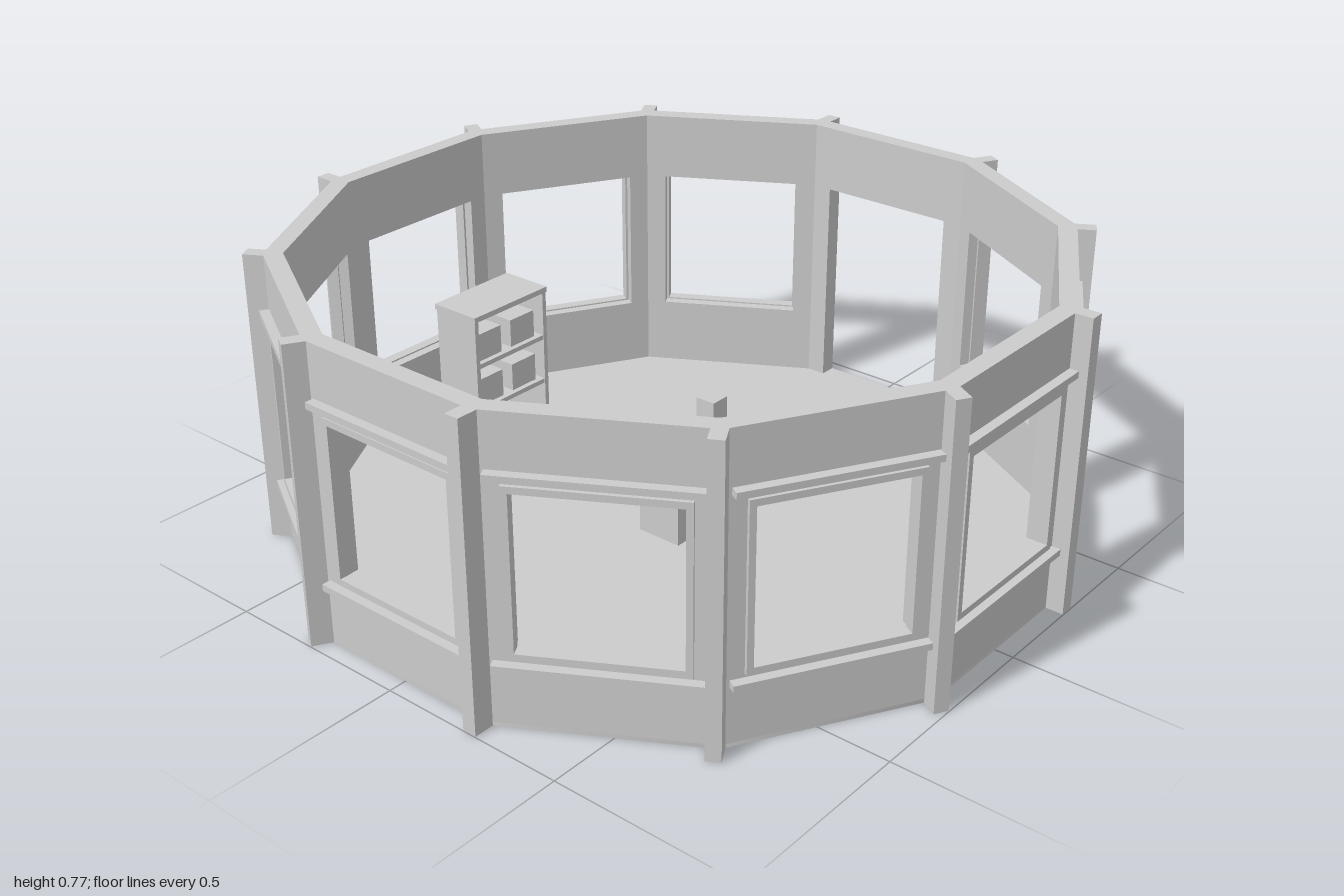
import * as THREE from 'three';

const SIDES = 12, HEIGHT = 0.77, FLOOR = 0.01;
const INNER = 0.905, OUTER = 0.952;          // distance of wall faces from the centre
const TAN = Math.tan(Math.PI / SIDES);
const OPEN_W = 0.19, OPEN_BOTTOM = 0.195, OPEN_TOP = 0.59;

export function createModel() {
  const model = new THREE.Group();
  model.name = 'roundRoom';
  const grey = new THREE.MeshStandardMaterial({ color: 0xcccccc });
  grey.name = 'plainGrey';

  const add = (parent, name, geometry) => {
    const mesh = new THREE.Mesh(geometry, grey);
    mesh.name = name;
    parent.add(mesh);
    return mesh;
  };
  // box given by its lower and upper limits
  const box = (parent, name, x0, x1, y0, y1, z0, z1) => {
    const mesh = add(parent, name, new THREE.BoxGeometry(x1 - x0, y1 - y0, z1 - z0));
    mesh.position.set((x0 + x1) / 2, (y0 + y1) / 2, (z0 + z1) / 2);
    return mesh;
  };
  const points = (list) => list.map(([x, y]) => new THREE.Vector2(x, y));
  const rect = (w, y0, y1) => points([[-w, y0], [w, y0], [w, y1], [-w, y1]]);
  const extrude = (shape, z0, z1) => {
    const g = new THREE.ExtrudeGeometry(shape, { depth: z1 - z0, bevelEnabled: false });
    return g.translate(0, 0, z0);
  };

  // floor
  const floorGeometry = new THREE.CylinderGeometry(1, 1, FLOOR, SIDES);
  floorGeometry.rotateY(Math.PI / SIDES);
  const r = OUTER / Math.cos(Math.PI / SIDES);
  floorGeometry.scale(r, 1, r);
  add(model, 'floor', floorGeometry.toNonIndexed()).position.y = FLOOR / 2;

  // wall panel with mitred ends
  const wallGeometry = (hasDoor) => {
    const w = OUTER * TAN;
    let shape;
    if (hasDoor) {
      shape = new THREE.Shape(points([
        [-w, FLOOR], [-OPEN_W, FLOOR], [-OPEN_W, OPEN_TOP], [OPEN_W, OPEN_TOP],
        [OPEN_W, FLOOR], [w, FLOOR], [w, HEIGHT], [-w, HEIGHT]]));
    } else {
      shape = new THREE.Shape(rect(w, FLOOR, HEIGHT));
      shape.holes.push(new THREE.Path(rect(OPEN_W, OPEN_BOTTOM, OPEN_TOP)));
    }
    const g = extrude(shape, INNER, OUTER);
    const p = g.attributes.position;
    for (let i = 0; i < p.count; i++) {
      const limit = p.getZ(i) * TAN;
      p.setX(i, THREE.MathUtils.clamp(p.getX(i), -limit, limit));
    }
    g.computeVertexNormals();
    return g;
  };
  const windowWall = wallGeometry(false), doorWall = wallGeometry(true);

  // window frame
  const frameShape = new THREE.Shape(rect(0.2, 0.182, 0.605));
  frameShape.holes.push(new THREE.Path(rect(0.184, 0.199, 0.588)));
  const frameGeometry = extrude(frameShape, OUTER - 0.02, 0.963);

  for (let i = 0; i < SIDES; i++) {
    const side = new THREE.Group();
    const hasDoor = i === SIDES / 2;
    side.name = hasDoor ? 'doorSide' : 'windowSide';
    side.rotation.y = (i * 2 * Math.PI) / SIDES;
    model.add(side);
    add(side, 'wall', hasDoor ? doorWall : windowWall);
    box(side, 'cornerPost', 0.23, 0.267, 0, HEIGHT, 0.94, 0.998);
    if (!hasDoor) {
      add(side, 'windowFrame', frameGeometry);
      box(side, 'upperRail', -0.234, 0.229, 0.618, 0.635, OUTER - 0.005, 0.976);
      box(side, 'lowerRail', -0.234, 0.229, 0.155, 0.172, OUTER - 0.005, 0.976);
    }
  }

  // desk: solid base, thin neck, top plate and two blocks
  const desk = new THREE.Group();
  desk.name = 'desk';
  model.add(desk);
  box(desk, 'deskBase', -0.018, 0.108, FLOOR, 0.23, -0.135, 0.125);
  box(desk, 'deskNeck', -0.008, 0.098, 0.23, 0.243, -0.125, 0.115);
  box(desk, 'deskTop', -0.035, 0.118, 0.243, 0.265, -0.145, 0.13);
  for (const z of [-0.087, 0.068])
    box(desk, 'deskBlock', 0.015, 0.07, 0.265, 0.325, z - 0.027, z + 0.027);

  // shelf unit, open at front and back
  const shelf = new THREE.Group();
  shelf.name = 'shelfUnit';
  model.add(shelf);
  box(shelf, 'shelfSide', -0.74, -0.598, FLOOR, 0.412, 0.1, 0.113);
  box(shelf, 'shelfSide', -0.74, -0.598, FLOOR, 0.412, -0.158, -0.145);
  box(shelf, 'shelfTop', -0.745, -0.595, 0.412, 0.427, -0.16, 0.115);
  for (const y of [0.015, 0.14, 0.272])
    box(shelf, 'shelfBoard', -0.74, -0.6, y, y + 0.013, -0.145, 0.1);
  for (const y of [0.153, 0.285])
    for (const z of [-0.08, 0.047])
      box(shelf, 'storageBox', -0.72, -0.615, y, y + 0.078, z - 0.045, z + 0.045);

  return model;
}
